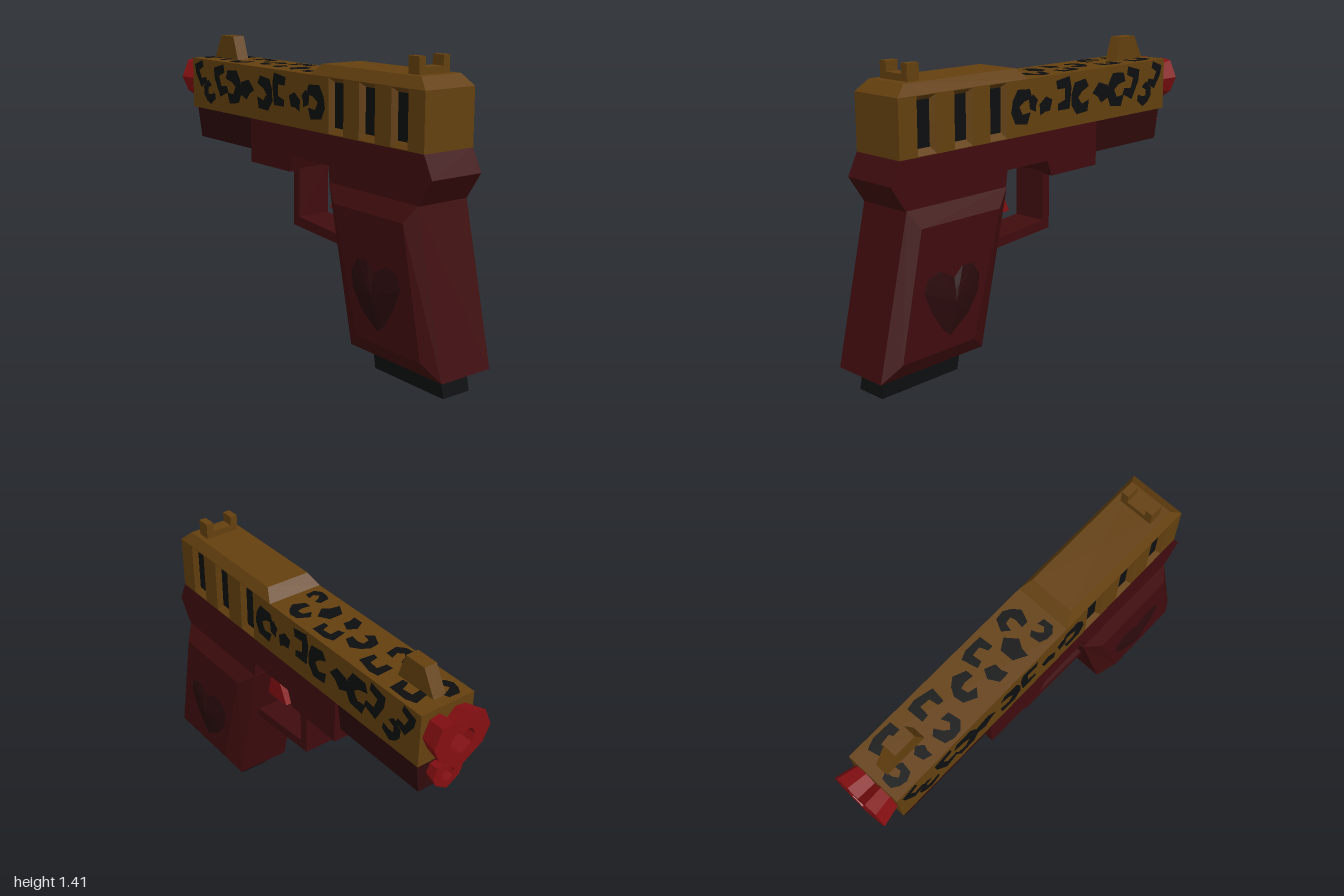
import * as THREE from 'three';

const mat = (name, color, side = THREE.FrontSide) => {
  const m = new THREE.MeshStandardMaterial({ color, side });
  m.name = name;
  return m;
};

export function createModel() {
  const root = new THREE.Group();
  root.name = 'toyBlaster';
  const gold = mat('gold', 0x64400f);
  const maroon = mat('maroon', 0x400c0e);
  const darkMaroon = mat('dark maroon', 0x300a0c);
  const heartDark = mat('heart dark', 0x2a0a0c, THREE.DoubleSide);
  const red = mat('red', 0x850f12);
  const black = mat('black', 0x0d0e0f);

  const add = (name, geo, material) => {
    const mesh = new THREE.Mesh(geo, material);
    mesh.name = name;
    root.add(mesh);
    return mesh;
  };
  const box = (name, material, x0, x1, y0, y1, z0, z1) =>
    add(name, new THREE.BoxGeometry(x1 - x0, y1 - y0, z1 - z0)
      .translate((x0 + x1) / 2, (y0 + y1) / 2, (z0 + z1) / 2), material);
  const shapeOf = (pts) => new THREE.Shape(pts.map(([u, v]) => new THREE.Vector2(u, v)));

  // Side profile of [z, y] points extruded across x from x0 to x1
  const prism = (pts, x0, x1, holes = []) => {
    const flip = (list) => list.map(([z, y]) => [-z, y]);
    const shape = shapeOf(flip(pts));
    holes.forEach((h) => shape.holes.push(shapeOf(flip(h))));
    return new THREE.ExtrudeGeometry(shape, { depth: x1 - x0, bevelEnabled: false })
      .translate(0, 0, x0).rotateY(Math.PI / 2);
  };
  // Thin flat plate of [z, y] points on the side s (+1 or -1)
  const sidePlate = (pts, s, x) =>
    new THREE.ShapeGeometry(shapeOf(pts.map(([z, y]) => [-s * z, y])))
      .rotateY(s * Math.PI / 2).translate(s * x, 0, 0);

  // Faceted skin through rings of [x, y, z] points, turned outwards when capped
  const loft = (rings, { caps = true, flip = false } = {}) => {
    const tris = [];
    const n = rings[0].length;
    for (let r = 0; r < rings.length - 1; r++) {
      for (let i = 0; i < n; i++) {
        const j = (i + 1) % n;
        const [a, b, c, d] = [rings[r][i], rings[r][j], rings[r + 1][j], rings[r + 1][i]];
        tris.push([a, b, c], [a, c, d]);
      }
    }
    if (caps) {
      const first = rings[0], last = rings[rings.length - 1];
      const mid = (ring) => [0, 1, 2].map((k) => ring.reduce((t, p) => t + p[k], 0) / n);
      const m0 = mid(first), m1 = mid(last);
      for (let i = 0; i < n; i++) {
        const j = (i + 1) % n;
        tris.push([m0, first[j], first[i]], [m1, last[i], last[j]]);
      }
      const V = (p) => new THREE.Vector3(...p);
      const volume = tris.reduce((t, [a, b, c]) => t + V(a).dot(V(b).cross(V(c))), 0);
      flip = volume < 0;
    }
    const g = new THREE.BufferGeometry();
    const flat = tris.flatMap(([a, b, c]) => (flip ? [a, c, b] : [a, b, c])).flat();
    g.setAttribute('position', new THREE.Float32BufferAttribute(flat, 3));
    g.computeVertexNormals();
    return g;
  };
  const rect = (z0, z1, y0, y1) => [[z0, y0], [z1, y0], [z1, y1], [z0, y1]];
  const atX = (x, pts) => pts.map(([z, y]) => [x, y, z]);
  const atY = (y, w, z0, z1) => [[-w, y, z0], [w, y, z0], [w, y, z1], [-w, y, z1]];

  // Frame, rail and trigger guard
  add('frame', prism([[0.865, 1.03], [0.915, 0.93], [0.835, 0.81], [0.255, 0.81], [0.245, 0.89],
    [-0.02, 0.89], [-0.05, 0.815], [-0.37, 0.815], [-0.37, 1.03]], -0.138, 0.138), maroon);
  add('frontRail', loft([atY(0.87, 0.105, -0.885, -0.37), atY(1.03, 0.125, -0.885, -0.37)]), darkMaroon);
  add('triggerGuard', prism([[-0.045, 0.83], [-0.09, 0.83], [-0.09, 0.545], [0.33, 0.515],
    [0.31, 0.56], [-0.045, 0.59]], -0.085, 0.085), maroon);
  add('trigger', prism([[0.25, 0.89], [0.135, 0.665], [0.3, 0.655]], -0.04, 0.04), red);

  // Grip with bevelled sides, and the magazine below it
  const gripOuter = [[1, 0.1], [0.415, 0.1], [0.25, 0.815], [0.835, 0.815]];
  const gripInset = [[0.915, 0.175], [0.505, 0.175], [0.34, 0.74], [0.795, 0.74]];
  add('grip', loft([atX(-0.183, gripInset), atX(-0.138, gripOuter),
    atX(0.138, gripOuter), atX(0.183, gripInset)]), maroon);
  add('magazine', prism([[0.92, 0.12], [0.487, 0.12], [0.51, 0], [0.945, 0]], -0.075, 0.075), black);

  // Domed hearts on the grip
  const gripHeart = [[0.01, 0.1], [0.06, 0.145], [0.12, 0.14], [0.158, 0.085], [0.15, 0.01], [0.09, -0.08],
    [-0.02, -0.155], [-0.06, -0.12], [-0.12, -0.03], [-0.16, 0.065], [-0.14, 0.125], [-0.07, 0.145]];
  for (const s of [1, -1]) {
    const ring = (k, x) => gripHeart.map(([u, v]) => [s * x, 0.39 + v * k, 0.63 - u * k]);
    add(s > 0 ? 'leftGripHeart' : 'rightGripHeart',
      loft([ring(1, 0.185), ring(0.5, 0.198), ring(0.04, 0.208)]), heartDark);
  }

  // Slide: plain front half, raised rear half with slotted side walls
  box('slideFront', gold, -0.138, 0.138, 1.03, 1.285, -0.905, 0.11);
  box('slideCore', gold, -0.112, 0.112, 1.03, 1.285, 0.11, 0.865);
  add('slideRoof', loft([atY(1.285, 0.138, 0.11, 0.865), atY(1.335, 0.11, 0.165, 0.81)]), gold);
  const slots = [0.715, 0.508, 0.298];
  const slotRim = (z) => rect(z - 0.052, z + 0.052, 1.033, 1.282);
  const slotFloor = (z) => rect(z - 0.033, z + 0.033, 1.06, 1.262);
  for (const s of [1, -1]) {
    add('slideWall', prism(rect(0.11, 0.865, 1.03, 1.285),
      s > 0 ? 0.112 : -0.138, s > 0 ? 0.138 : -0.112, slots.map(slotRim)), gold);
    for (const z of slots) {
      add('slotBevel', loft([atX(s * 0.138, slotRim(z)), atX(s * 0.116, slotFloor(z))],
        { caps: false, flip: s > 0 }), gold);
      add('slotPanel', sidePlate(slotFloor(z), s, 0.116), black);
    }
  }

  // Sights
  box('rearSightBase', gold, -0.085, 0.085, 1.335, 1.365, 0.705, 0.77);
  for (const s of [1, -1]) {
    box('rearSightPost', gold, s * 0.067 - 0.018, s * 0.067 + 0.018, 1.365, 1.41, 0.705, 0.77);
  }
  add('frontSight', prism([[-0.64, 1.285], [-0.68, 1.402], [-0.79, 1.402], [-0.855, 1.285]], -0.032, 0.032), gold);

  // Flared heart-shaped muzzles with a hollow centre
  const half = [[0.05, 0.12], [0.11, 0.11], [0.148, 0.025], [0.115, -0.05]];
  const heart = [[0, 0.075], ...half, [0, -0.125], ...half.map(([x, y]) => [-x, y]).reverse()];
  const muzzle = (name, y, z0, z1, size) => {
    const ring = (k, z) => heart.map(([u, v]) => [u * k * size, y + v * k * size, z]);
    add(name, loft([ring(0.84, z0), ring(1, z1), ring(0.45, z1), ring(0.42, z0 - 0.015)]), red);
    const k = 0.44 * size;
    add(name + 'Bore', new THREE.ShapeGeometry(shapeOf(heart.map(([u, v]) => [u * k, v * k])))
      .rotateY(Math.PI).translate(0, y, z0 - 0.02), black);
  };
  muzzle('muzzle', 1.155, -0.9, -1, 1);
  muzzle('lowerMuzzle', 0.945, -0.88, -0.94, 0.55);

  // Animal-print spots: three outlines placed as [outline, u, v, turn, scale]
  const outlines = [
    [[-0.06, 0.03], [-0.03, 0.075], [0.045, 0.07], [0.06, 0.03], [0.01, 0.02], [-0.02, 0],
      [0, -0.035], [0.05, -0.03], [0.03, -0.08], [-0.045, -0.07], [-0.07, -0.02]],
    [[-0.07, 0], [-0.02, 0.05], [0.05, 0.03], [0.065, -0.03], [0, -0.055], [-0.03, -0.02]],
    [[-0.055, 0.085], [0.05, 0.09], [0.06, 0.03], [0.035, -0.08], [-0.055, -0.07],
      [-0.05, -0.035], [0.005, -0.025], [0.01, 0.035], [-0.05, 0.04]],
  ];
  const place = ([kind, u, v, turn, k]) => outlines[kind].map(([a, b]) => [
    u + k * (a * Math.cos(turn) - b * Math.sin(turn)),
    v + k * (a * Math.sin(turn) + b * Math.cos(turn))]);
  // u runs towards the muzzle
  const sideSpots = [
    [0, -0.15, 1.165, 0, 1.05], [1, -0.08, 1.17, 2, 0.6], [1, 0, 1.15, 0.9, 0.75], [2, 0.13, 1.185, 0.1, 0.9],
    [0, 0.25, 1.165, 0.2, 1.05], [1, 0.4, 1.17, 0, 0.95], [0, 0.52, 1.17, 0, 1.1], [2, 0.63, 1.185, -0.3, 0.9],
    [0, 0.74, 1.12, 2.6, 0.75], [2, 0.82, 1.205, -0.4, 0.75]];
  for (const s of [1, -1]) {
    for (const spot of sideSpots) {
      add('sideSpot', sidePlate(place(spot).map(([u, v]) => [-u, v]), s, 0.141), black);
    }
  }
  // u is x, v runs towards the muzzle
  const topSpots = [
    [0, -0.06, 0.83, 0, 0.7], [2, 0.075, 0.75, 0.2, 0.85], [1, -0.07, 0.69, 0.5, 0.6], [0, -0.07, 0.55, 0.3, 0.8],
    [2, 0.065, 0.53, 0, 0.8], [0, 0, 0.37, -1.9, 0.85], [1, -0.055, 0.24, 0.8, 0.75], [2, 0.07, 0.22, 0.2, 0.75],
    [1, -0.035, 0.11, 0.3, 0.95], [0, 0.06, 0.02, 2.8, 0.8], [0, -0.065, -0.03, 0.2, 0.65]];
  for (const spot of topSpots) {
    add('topSpot', new THREE.ShapeGeometry(shapeOf(place(spot)))
      .rotateX(-Math.PI / 2).translate(0, 1.288, 0), black);
  }
  return root;
}
